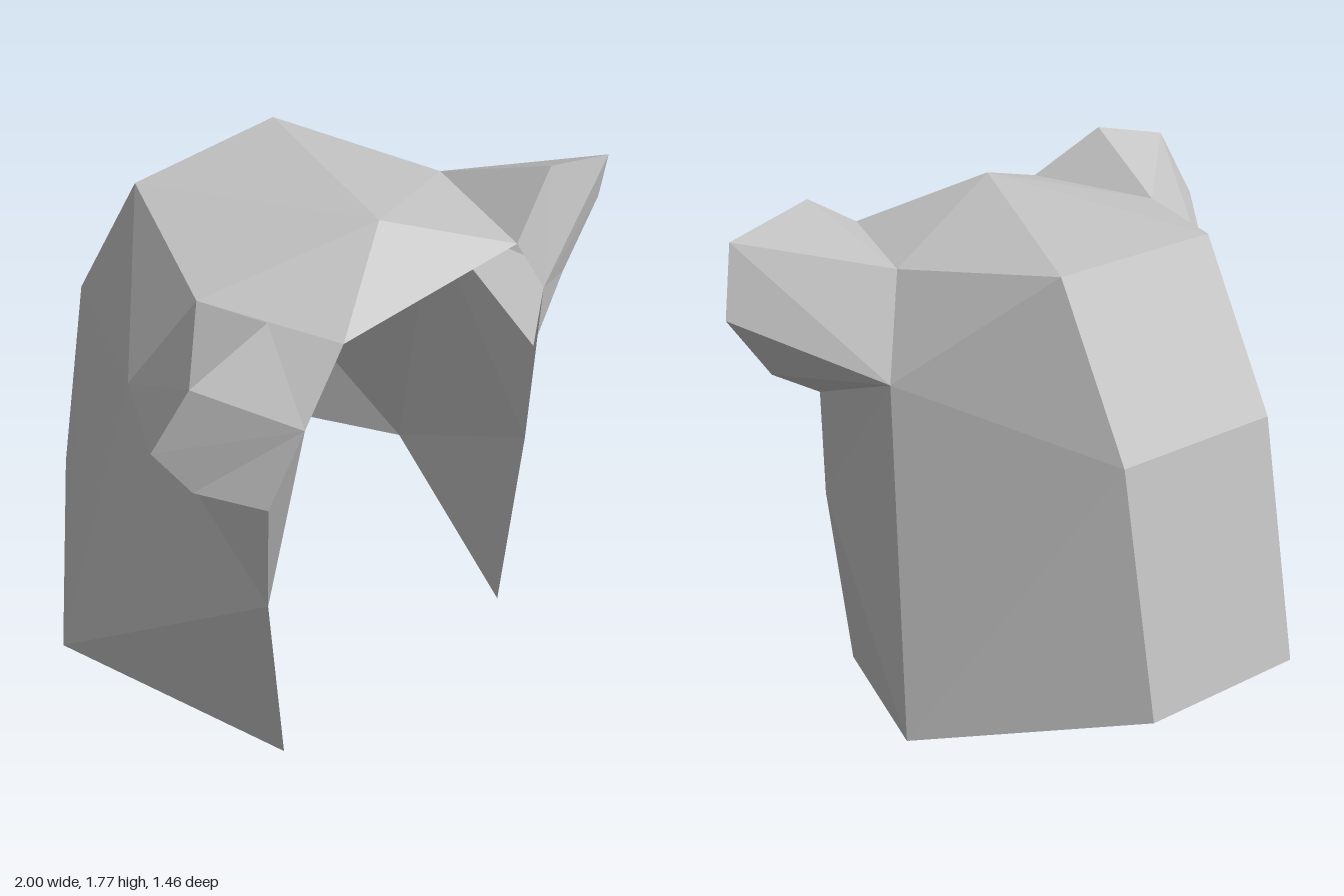
import * as THREE from 'three';

// Corner points of the left (+x) half; a name ending in _ is the mirrored point.
const P = {
  apex: [0, 1.77, 0.5],
  brow: [0.385, 1.62, 0.73],
  temple: [0.54, 1.385, 0.73],
  crown: [0.54, 1.62, 0.27],
  rearTop: [0.305, 1.695, -0.27],
  rearMid: [0.305, 1.155, -0.575],
  rearLow: [0.305, 0.31, -0.73],
  sideTop: [0.69, 1.31, 0.115],
  sideLow: [0.84, 0.155, -0.115],
  cheekTop: [0.615, 1.08, 0.655],
  cheekMid: [0.615, 0.695, 0.655],
  cheekLow: [0.54, 0, 0.655],
  ear1: [0.62, 1.77, 0.655],
  ear2: [0.92, 1.69, 0.655],
  ear3: [1, 1.465, 0.575],
  ear4: [0.845, 1.235, 0.575],
};

function point(name) {
  if (!name.endsWith('_')) return P[name];
  const [x, y, z] = P[name.slice(0, -1)];
  return [-x, y, z];
}

// Each face is a string of three or four corner names, split as a fan.
function facets(name, faces, material, mirrored = false) {
  const positions = [];
  for (const face of faces) {
    const corners = face.split(' ').map(point);
    for (let i = 1; i < corners.length - 1; i++) {
      const tri = [corners[0], corners[i], corners[i + 1]];
      if (mirrored) tri.reverse();
      for (const [x, y, z] of tri) positions.push(mirrored ? -x : x, y, z);
    }
  }
  const geometry = new THREE.BufferGeometry();
  geometry.setAttribute('position', new THREE.Float32BufferAttribute(positions, 3));
  geometry.computeVertexNormals();
  const mesh = new THREE.Mesh(geometry, material);
  mesh.name = name;
  return mesh;
}

export function createModel() {
  const group = new THREE.Group();
  group.name = 'earedHood';
  const grey = new THREE.MeshStandardMaterial({ color: 0xc4c4c4, side: THREE.DoubleSide, flatShading: true });
  grey.name = 'lightGrey';

  // Middle of the crown and the straight back
  group.add(facets('crownCentre', ['apex rearTop rearTop_', 'brow_ brow apex'], grey));
  group.add(facets('backPanel', [
    'rearLow rearLow_ rearMid_ rearMid',
    'rearMid rearMid_ rearTop_ rearTop',
  ], grey));

  for (const mirrored of [false, true]) {
    const side = mirrored ? 'right' : 'left';
    const add = (part, faces) => group.add(facets(side + part, faces, grey, mirrored));

    add('Crown', ['apex crown rearTop', 'apex brow crown', 'sideTop rearTop crown']);
    add('RearSide', ['sideLow rearLow rearMid', 'sideLow rearMid sideTop', 'sideTop rearMid rearTop']);
    add('CheekFlap', [
      'cheekLow sideLow cheekMid',
      'cheekMid sideLow sideTop',
      'cheekMid sideTop cheekTop',
      'temple cheekMid cheekTop',
    ]);
    // Hollow ear, open towards the inside of the hood
    add('Ear', [
      'brow ear1 crown', 'crown ear1 ear2', 'crown ear2 sideTop',
      'sideTop ear2 ear3', 'sideTop ear3 ear4', 'sideTop ear4 cheekTop',
      'brow temple ear1', 'temple ear2 ear1', 'temple ear3 ear2',
      'temple ear4 ear3', 'temple cheekTop ear4',
    ]);
  }
  return group;
}
